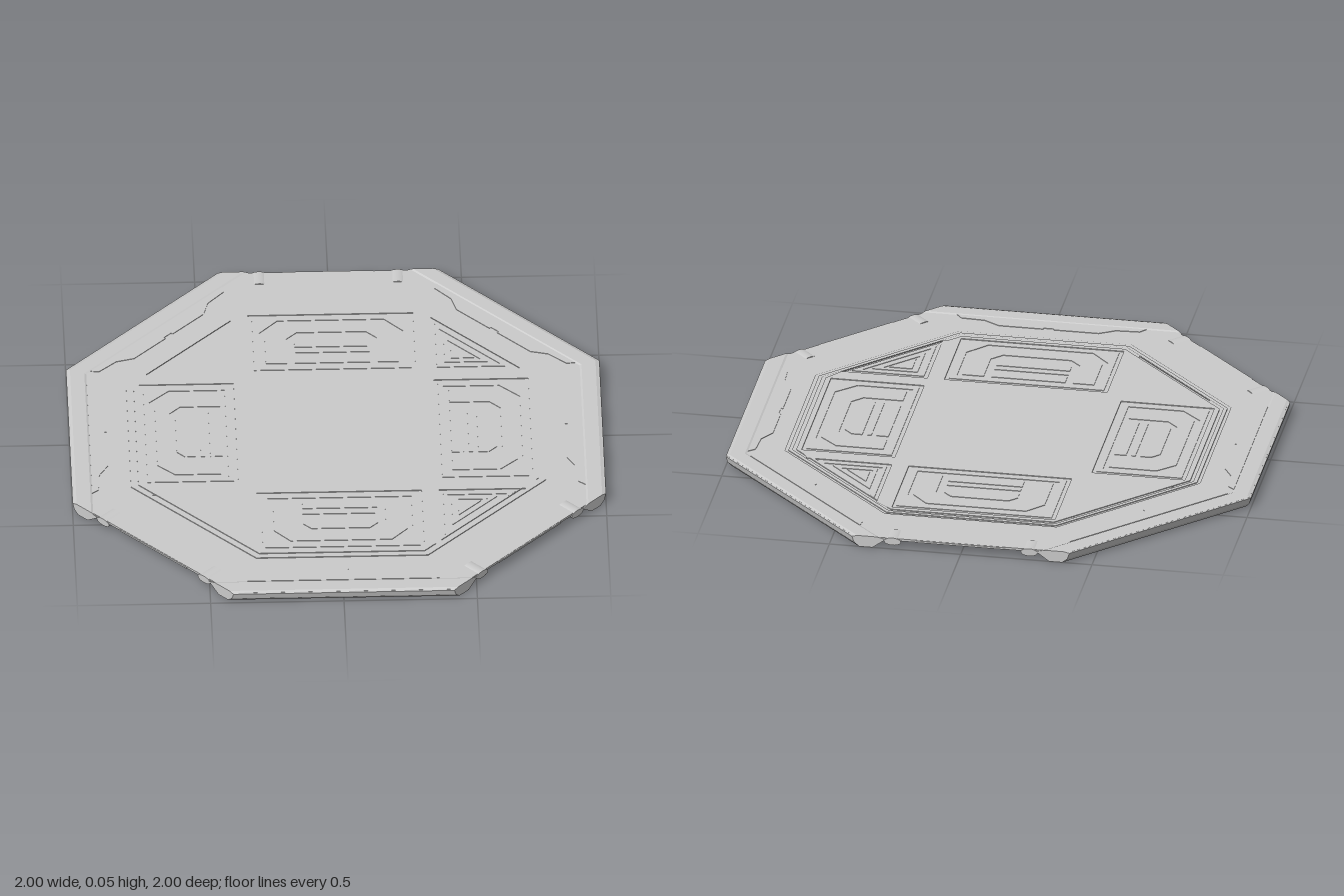
import * as THREE from 'three';
import { ConvexGeometry } from 'three/addons/geometries/ConvexGeometry.js';

const material = new THREE.MeshStandardMaterial({ color: 0xcccccc, flatShading: true });
const TOP = 0.042, BOTTOM = 0.033;
const C = Math.SQRT1_2;

// Corners of a regular octagon with the given apothem, as [x, z]
function octagon(apothem) {
  const c = apothem * (Math.SQRT2 - 1), a = apothem;
  return [[c, a], [a, c], [a, -c], [c, -a], [-c, -a], [-a, -c], [-a, c], [-c, a]];
}

const toPoints = (list) => list.map(([x, z]) => new THREE.Vector2(x, z));

// Horizontal plate cut from an outline in x and z, with optional holes
function plate(outline, holes, top, bottom, name) {
  const shape = new THREE.Shape(toPoints(outline));
  holes.forEach((h) => shape.holes.push(new THREE.Path(toPoints(h))));
  const geo = new THREE.ExtrudeGeometry(shape, { depth: top - bottom, bevelEnabled: false });
  geo.rotateX(Math.PI / 2).translate(0, top, 0);
  const mesh = new THREE.Mesh(geo, material);
  mesh.name = name;
  return mesh;
}

const rect = (x0, z0, x1, z1) => [[x0, z0], [x1, z0], [x1, z1], [x0, z1]];
const turn = (list, angle) => {
  const c = Math.round(Math.cos(angle)), s = Math.round(Math.sin(angle));
  return list.map(([x, z]) => [x * c + z * s, z * c - x * s]);
};
// Right triangle in the +x +z corner, shrunk by m on all sides
const corner = (m) => {
  const a = 0.375 + m, sum = 1.075 - m * Math.SQRT2;
  return [[a, a], [sum - a, a], [a, sum - a]];
};

// Convex rail profile: distance from the centre, height
const railProfile = [[1, 0.04], [0.985, 0.045], [0.932, 0.045], [0.91, 0.036],
  [0.945, 0], [0.98, 0], [0.994, 0.016]];

// Rail along the +z side; a mitred end meets the next rail, an open end is cut on the octagon edge
function rail(openLeft, openRight) {
  const points = [];
  for (const [d, y] of railProfile) {
    const reach = (open) => ((open ? 1 : d) - d * C) / C;
    points.push(new THREE.Vector3(reach(openLeft), y, d), new THREE.Vector3(-reach(openRight), y, d));
  }
  const mesh = new THREE.Mesh(new ConvexGeometry(points), material);
  mesh.name = 'rail';
  return mesh;
}

// Stepped strip beside a rail, with a wider middle
function railStep() {
  const half = [[0.36, 0.925], [0.34, 0.9], [0.25, 0.895], [0.19, 0.86], [0.02, 0.86], [0.02, 0.868]];
  const mirrored = half.map(([x, z]) => [-x, z]).reverse();
  return plate([...half, ...mirrored], [], TOP + 0.002, BOTTOM - 0.002, 'railStep');
}

// Two round couplings and a lip on an open side
function coupling() {
  const group = new THREE.Group();
  group.name = 'coupling';
  for (const side of [-1, 1]) {
    const geo = new THREE.CylinderGeometry(0.032, 0.032, 0.075, 20);
    geo.rotateX(Math.PI / 2).scale(1, 0.47, 1).translate(side * 0.26, 0.03, 0.961);
    const pin = new THREE.Mesh(geo, new THREE.MeshStandardMaterial({ color: 0xcccccc }));
    pin.name = 'couplingPin';
    group.add(pin);
  }
  group.add(plate(rect(-0.17, 0.975, 0.17, 0.999), [], 0.041, 0.034, 'edgeLip'));
  return group;
}

export function createModel() {
  const model = new THREE.Group();
  model.name = 'octagonalPlatform';

  // Thin core sheet closing all recesses
  model.add(plate(octagon(0.98), [], 0.039, 0.036, 'coreSheet'));

  // Border and inner ring, separated by a groove
  model.add(plate(octagon(0.995), [octagon(0.79)], TOP, BOTTOM, 'border'));
  model.add(plate(octagon(0.778), [octagon(0.763)], TOP, BOTTOM, 'grooveRing'));

  // Centre deck with openings for the panels
  const panel = rect(-0.31, 0.375, 0.31, 0.73);
  const openings = [];
  for (let i = 0; i < 4; i++) {
    openings.push(turn(panel, i * Math.PI / 2), turn(corner(0), i * Math.PI / 2));
  }
  model.add(plate(octagon(0.75), openings, TOP, BOTTOM, 'centreDeck'));

  // Panel inlays, repeated on four sides and four corners
  const inlays = [
    [rect(-0.295, 0.39, 0.295, 0.715), [[[-0.27, 0.41], [0.27, 0.41], [0.27, 0.62], [0.2, 0.695], [-0.2, 0.695], [-0.27, 0.62]]]],
    [[[-0.25, 0.43], [-0.17, 0.43], [-0.17, 0.58], [-0.13, 0.62], [0.13, 0.62], [0.17, 0.58], [0.17, 0.43],
      [0.25, 0.43], [0.25, 0.61], [0.19, 0.675], [-0.19, 0.675], [-0.25, 0.61]], []],
    [rect(-0.14, 0.43, 0.14, 0.475), []],
    [rect(-0.14, 0.495, 0.14, 0.51), []],
    [[[-0.14, 0.53], [0.14, 0.53], [0.14, 0.57], [0.11, 0.6], [-0.11, 0.6], [-0.14, 0.57]], []],
    [corner(0.015), [corner(0.03)]],
    [corner(0.045), [corner(0.06)]],
    [corner(0.07), []],
  ];
  for (let i = 0; i < 4; i++) {
    const a = i * Math.PI / 2;
    for (const [outline, holes] of inlays) {
      model.add(plate(turn(outline, a), holes.map((h) => turn(h, a)), TOP - 0.001, BOTTOM + 0.001, 'panelInlay'));
    }
  }

  // Eight sides, counted from the front towards +x: rails and open coupling sides
  const open = [false, true, false, false, true, false, false, true];
  for (let k = 0; k < 8; k++) {
    const side = new THREE.Group();
    side.name = open[k] ? 'openSide' : 'railSide';
    if (open[k]) side.add(coupling());
    else side.add(rail(open[(k + 1) % 8], open[(k + 7) % 8]), railStep());
    side.rotation.y = k * Math.PI / 4;
    model.add(side);
  }
  return model;
}
